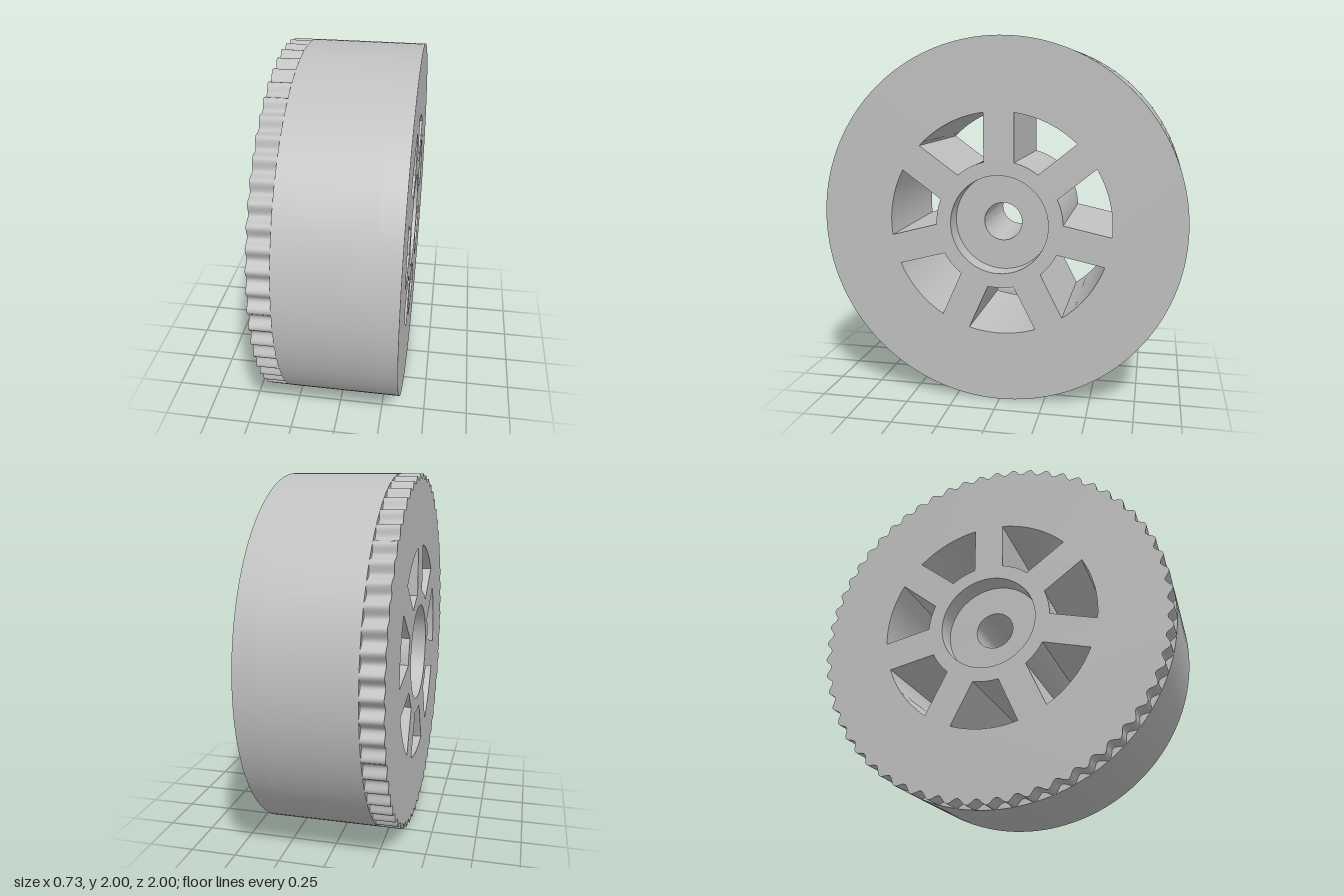
import * as THREE from 'three';
import { toCreasedNormals } from 'three/addons/utils/BufferGeometryUtils.js';

const HALF_WIDTH = 0.363;
const LIP = 0.117; // depth of the hub recess on either side
const TAU = Math.PI * 2;

const polar = (r, a) => new THREE.Vector2(r * Math.cos(a), r * Math.sin(a));

// Closed outline whose radius follows a rule
function ring(count, radiusAt) {
  return Array.from({ length: count }, (_, i) => {
    const a = (i / count) * TAU;
    return polar(radiusAt(a), a);
  });
}

// Seven windows left between parallel-sided spokes
function windowOutlines() {
  const inner = 0.35, outer = 0.61, halfSpoke = 0.083, steps = 14;
  const spokes = [0, 1, 2, 3, 4, 5, 6].map((k) => 90 - 51 * k).concat(-270);
  const outlines = [];
  for (let k = 0; k < 7; k++) {
    const high = THREE.MathUtils.degToRad(spokes[k]);
    const low = THREE.MathUtils.degToRad(spokes[k + 1]);
    const arc = (r) => {
      const pad = Math.asin(halfSpoke / r);
      return Array.from({ length: steps + 1 }, (_, i) =>
        polar(r, THREE.MathUtils.lerp(low + pad, high - pad, i / steps)));
    };
    outlines.push([...arc(outer), ...arc(inner).reverse()]);
  }
  return outlines;
}

// One slice of the wheel between two positions along the axle
function slice(name, outline, bore, x0, x1, material) {
  const shape = new THREE.Shape(outline);
  const holes = [ring(72, () => bore), ...windowOutlines()];
  shape.holes = holes.map((points) => new THREE.Path(points));
  let geometry = new THREE.ExtrudeGeometry(shape, { depth: x1 - x0, bevelEnabled: false });
  geometry = toCreasedNormals(geometry, 0.7);
  geometry.rotateY(Math.PI / 2);
  geometry.translate(x0, 1, 0);
  const mesh = new THREE.Mesh(geometry, material);
  mesh.name = name;
  return mesh;
}

export function createModel() {
  const group = new THREE.Group();
  group.name = 'wheel';
  const grey = new THREE.MeshStandardMaterial({ color: 0xc0c0c0 });
  grey.name = 'light grey';

  const teeth = 59;
  const round = ring(144, () => 1);
  const wavy = ring(teeth * 10, (a) => 0.984 + 0.016 * Math.cos(teeth * (a - 0.02)));

  const back = -HALF_WIDTH + LIP;
  const front = HALF_WIDTH - LIP;
  group.add(
    slice('toothedRim', wavy, 0.27, -HALF_WIDTH, back, grey),
    slice('wheelCore', round, 0.106, back, front, grey),
    slice('outerFace', round, 0.27, front, HALF_WIDTH, grey),
  );
  return group;
}
